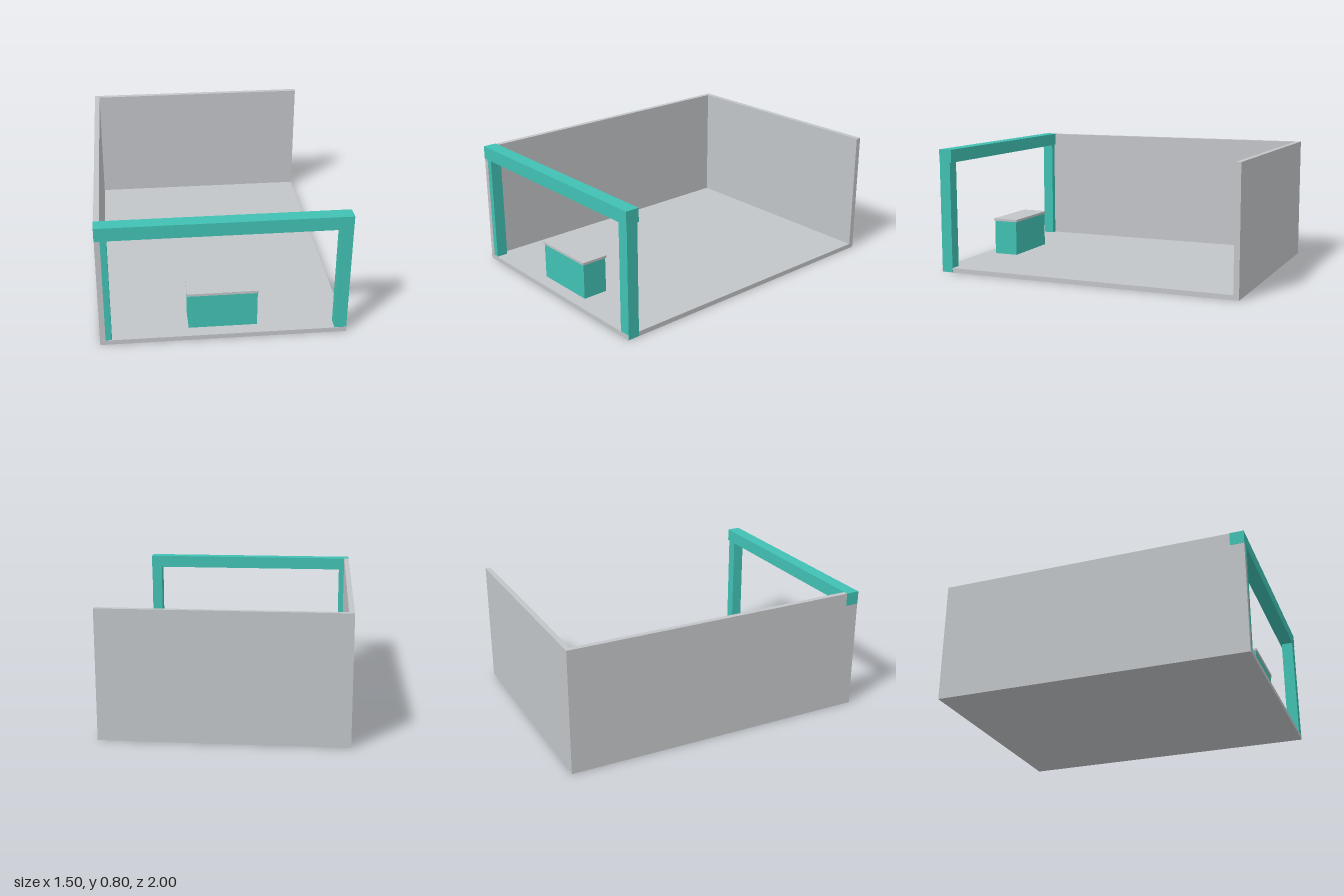
import * as THREE from 'three';

export function createModel() {
  const model = new THREE.Group();
  model.name = 'exhibitionBooth';

  const grey = new THREE.MeshStandardMaterial({ color: 0xc2c5c8 });
  grey.name = 'panelGrey';
  const teal = new THREE.MeshStandardMaterial({ color: 0x41c1b3 });
  teal.name = 'frameTeal';

  // Box given by its [min, max] span on each axis
  function addBox(name, material, [x0, x1], [y0, y1], [z0, z1], parent = model) {
    const mesh = new THREE.Mesh(new THREE.BoxGeometry(x1 - x0, y1 - y0, z1 - z0), material);
    mesh.position.set((x0 + x1) / 2, (y0 + y1) / 2, (z0 + z1) / 2);
    mesh.name = name;
    parent.add(mesh);
  }

  // Floor and the two walls; the +x side stays open
  addBox('floor', grey, [-0.748, 0.748], [0, 0.03], [-1, 1]);
  addBox('sideWall', grey, [-0.748, -0.715], [0.03, 0.799], [-1, 0.999]);
  addBox('backWall', grey, [-0.715, 0.748], [0.03, 0.799], [-1, -0.965]);

  // Entrance frame: two posts under a slightly deeper beam
  const frame = new THREE.Group();
  frame.name = 'entranceFrame';
  model.add(frame);
  addBox('rightPost', teal, [-0.747, -0.678], [0.002, 0.716], [0.923, 0.997], frame);
  addBox('leftPost', teal, [0.676, 0.749], [0.002, 0.716], [0.923, 0.998], frame);
  addBox('beam', teal, [-0.749, 0.749], [0.716, 0.8], [0.912, 1], frame);

  // Reception counter with an overhanging top
  const counter = new THREE.Group();
  counter.name = 'counter';
  model.add(counter);
  addBox('counterBody', teal, [-0.21, 0.21], [0.02, 0.26], [0.752, 0.917], counter);
  addBox('counterTop', grey, [-0.218, 0.216], [0.26, 0.276], [0.745, 0.923], counter);

  return model;
}
